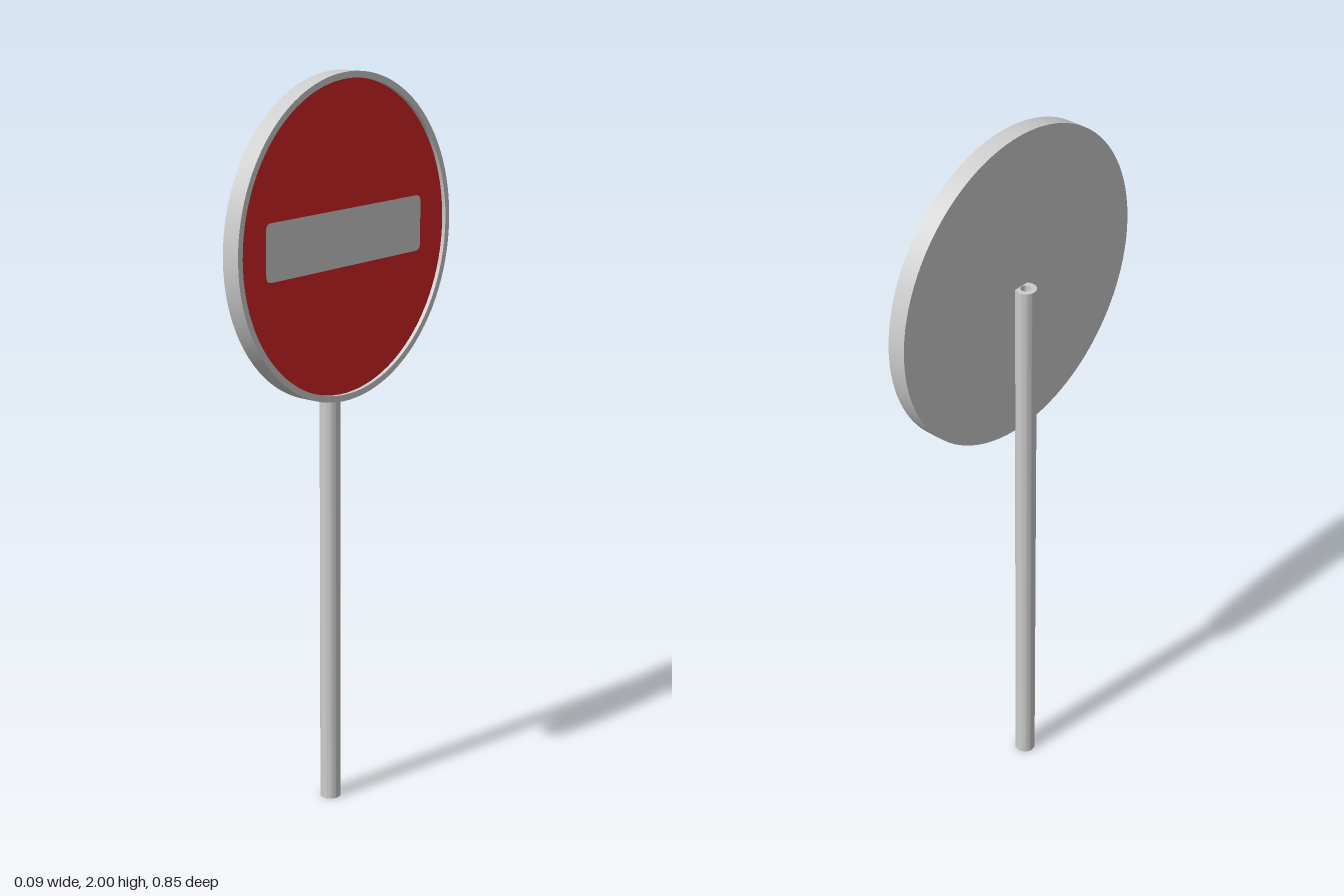
import * as THREE from 'three';
import { toCreasedNormals } from 'three/addons/utils/BufferGeometryUtils.js';

const material = (name, color) => {
  const m = new THREE.MeshStandardMaterial({ color });
  m.name = name;
  return m;
};

// Solid of revolution with sharp profile corners
function turned(points, segments) {
  const profile = points.map(([r, h]) => new THREE.Vector2(r, h));
  return toCreasedNormals(new THREE.LatheGeometry(profile, segments), Math.PI / 5);
}

// Rounded rectangle centred on (0, cy)
function roundedBar(path, w, h, r, cy) {
  const x = w / 2, y = h / 2;
  path.moveTo(-x + r, cy - y);
  path.lineTo(x - r, cy - y).quadraticCurveTo(x, cy - y, x, cy - y + r);
  path.lineTo(x, cy + y - r).quadraticCurveTo(x, cy + y, x - r, cy + y);
  path.lineTo(-x + r, cy + y).quadraticCurveTo(-x, cy + y, -x, cy + y - r);
  path.lineTo(-x, cy - y + r).quadraticCurveTo(-x, cy - y, -x + r, cy - y);
  return path;
}

export function createModel() {
  const model = new THREE.Group();
  model.name = 'roadSign';
  const grey = material('lightGrey', 0xcccccc);
  const red = material('signRed', 0xd42424);

  const add = (name, geometry, mat, x, y) => {
    const mesh = new THREE.Mesh(geometry, mat);
    mesh.name = name;
    mesh.position.set(x, y, 0);
    model.add(mesh);
    return mesh;
  };

  const centreY = 1.573, outerR = 0.427, innerR = 0.41;
  const backX = -0.003, frontX = 0.047, faceX = 0.036;

  // Hollow pole behind the disc
  const poleR = 0.028, boreR = 0.014, poleH = 1.578;
  add('pole', turned([
    [boreR, 0], [poleR, 0], [poleR, poleH], [boreR, poleH], [boreR, 0],
  ], 32), grey, -0.019, 0);

  // Disc shell with flat back and raised rim, turned to face +x
  const shell = add('discShell', turned([
    [0, backX], [outerR, backX], [outerR, frontX], [innerR, frontX], [innerR, faceX],
  ], 96), grey, 0, centreY);
  shell.rotation.z = -Math.PI / 2;

  // Recessed red face with an opening for the bar
  const disc = new THREE.Shape().absarc(0, 0, innerR, 0, Math.PI * 2);
  disc.holes.push(roundedBar(new THREE.Path(), 0.624, 0.15, 0.02, 0.002));
  add('redFace', new THREE.ShapeGeometry(disc, 48), red, faceX, centreY).rotation.y = Math.PI / 2;

  // Horizontal bar filling the opening
  const bar = roundedBar(new THREE.Shape(), 0.624, 0.15, 0.02, 0.002);
  add('bar', new THREE.ShapeGeometry(bar, 48), grey, faceX, centreY).rotation.y = Math.PI / 2;

  return model;
}
